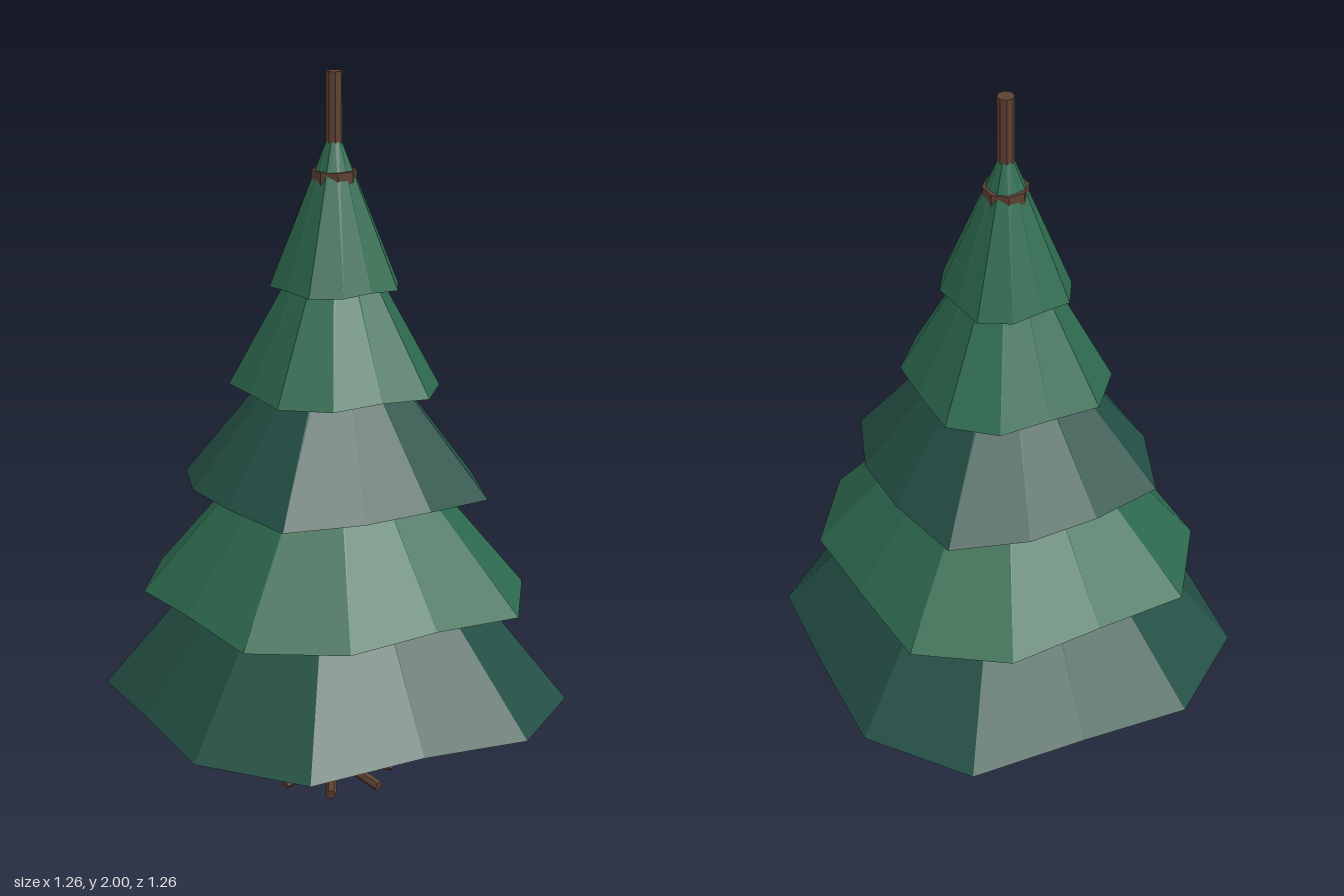
import * as THREE from 'three';

const bark = new THREE.MeshStandardMaterial({ color: 0x5c4033, flatShading: true });
bark.name = 'bark brown';
const deepGreen = new THREE.MeshStandardMaterial({ color: 0x245045, flatShading: true });
deepGreen.name = 'deep green';
const leafGreen = new THREE.MeshStandardMaterial({ color: 0x2d6a4f, flatShading: true });
leafGreen.name = 'leaf green';

const SIDES = 12;

// A closed twelve-sided skirt whose rim repeats three radii; wider corners droop lower
function tierGeometry({ y, top, turn, radii }) {
  const mean = (radii[0] + radii[1] + radii[2]) / 3;
  const point = (i, r, h) => {
    const a = THREE.MathUtils.degToRad(turn + (i * 360) / SIDES);
    return [Math.cos(a) * r, h, Math.sin(a) * r];
  };
  const rim = (i) => {
    const r = radii[i % 3];
    return point(i, r, y - (r - mean) * 0.25);
  };
  const tip = (i) => point(i, 0.02, top);
  const positions = [];
  for (let i = 0; i < SIDES; i++) {
    const b0 = rim(i), b1 = rim(i + 1), t0 = tip(i), t1 = tip(i + 1);
    positions.push(...b0, ...t0, ...b1, ...b1, ...t0, ...t1); // slope
    positions.push(0, y, 0, ...b0, ...b1);                    // underside
    positions.push(0, top, 0, ...t1, ...t0);                  // top cap
  }
  const geometry = new THREE.BufferGeometry();
  geometry.setAttribute('position', new THREE.Float32BufferAttribute(positions, 3));
  geometry.computeVertexNormals();
  return geometry;
}

// Cylinder between two points
function rod(from, to, r0, r1, sides) {
  const dir = to.clone().sub(from);
  const geometry = new THREE.CylinderGeometry(r1, r0, dir.length(), sides);
  const mesh = new THREE.Mesh(geometry, bark);
  mesh.position.copy(from).add(to).multiplyScalar(0.5);
  mesh.quaternion.setFromUnitVectors(new THREE.Vector3(0, 1, 0), dir.normalize());
  return mesh;
}

export function createModel() {
  const tree = new THREE.Group();
  tree.name = 'firTree';
  const axis = new THREE.Group();
  axis.name = 'treeAxis';
  axis.position.set(0.008, 0, -0.013);
  tree.add(axis);

  // Trunk, whose top pokes through the highest tier, and the thin leader above
  const trunk = rod(new THREE.Vector3(0, 0.012, 0), new THREE.Vector3(0, 1.74, 0), 0.061, 0.061, 8);
  trunk.name = 'trunk';
  const leader = rod(new THREE.Vector3(0, 1.7, 0), new THREE.Vector3(0, 2, 0), 0.023, 0.023, 8);
  leader.name = 'leader';
  axis.add(trunk, leader);

  // Seven roots fanning out around the foot
  for (let i = 0; i < 7; i++) {
    const a = THREE.MathUtils.degToRad(315 + (i * 360) / 7);
    const at = (r, y) => new THREE.Vector3(Math.cos(a) * r, y, Math.sin(a) * r);
    const root = rod(at(0.03, 0.052), at(0.168, 0.017), 0.015, 0.015, 6);
    root.name = 'root';
    axis.add(root);
  }

  // Foliage tiers from the bottom up
  const tiers = [
    { y: 0.27, top: 1.03, turn: 30, radii: [0.565, 0.647, 0.632], material: deepGreen },
    { y: 0.575, top: 1.18, turn: 20, radii: [0.475, 0.526, 0.548], material: leafGreen },
    { y: 0.875, top: 1.38, turn: 12.5, radii: [0.38, 0.39, 0.435], material: deepGreen },
    { y: 1.155, top: 1.64, turn: 25, radii: [0.257, 0.285, 0.293], material: leafGreen },
    { y: 1.43, top: 1.82, turn: 16, radii: [0.158, 0.174, 0.182], material: leafGreen },
  ];
  for (const tier of tiers) {
    const mesh = new THREE.Mesh(tierGeometry(tier), tier.material);
    mesh.name = 'foliageTier';
    axis.add(mesh);
  }
  return tree;
}
